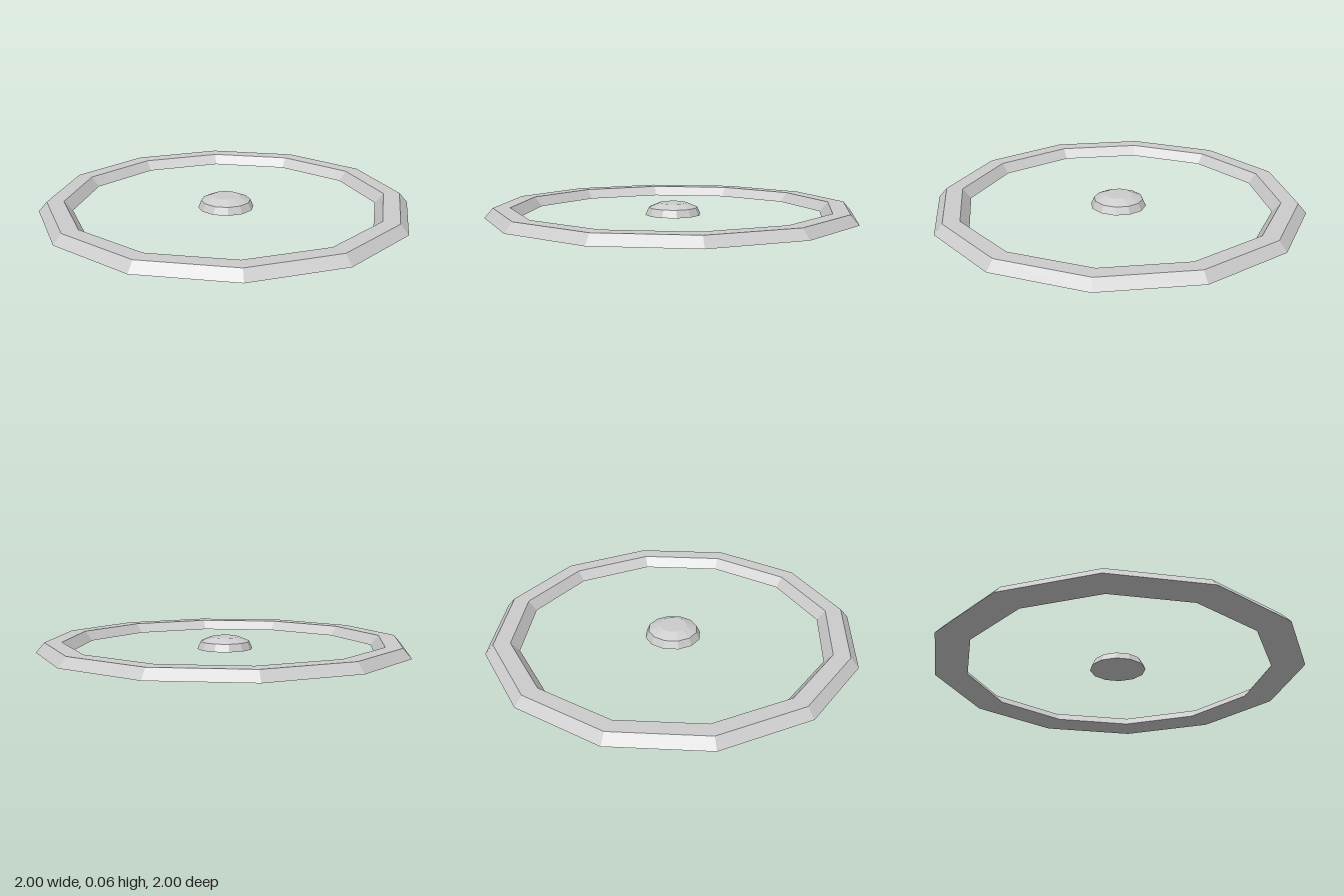
import * as THREE from 'three';

const SIDES = 12;

// Revolves a [radius, height] profile into a faceted twelve-sided solid.
function facetedLathe(name, profile, material) {
  const points = profile.map(([r, y]) => new THREE.Vector2(r, y));
  const geometry = new THREE.LatheGeometry(points, SIDES).toNonIndexed();
  geometry.computeVertexNormals();
  const mesh = new THREE.Mesh(geometry, material);
  mesh.name = name;
  return mesh;
}

export function createModel() {
  const group = new THREE.Group();
  group.name = 'ringWithCentreButton';
  const material = new THREE.MeshStandardMaterial({ color: 0xcccccc, flatShading: true });

  // Outer ring: trapezoid section, bevelled on both sides
  group.add(facetedLathe('outerRing', [
    [0.82, 0], [1, 0], [0.955, 0.052], [0.865, 0.052], [0.82, 0],
  ], material));

  // Centre button: steep rim, shallow shoulder and flat cap
  group.add(facetedLathe('centreButton', [
    [0, 0], [0.15, 0], [0.132, 0.04], [0.075, 0.064], [0, 0.064],
  ], material));

  return group;
}
